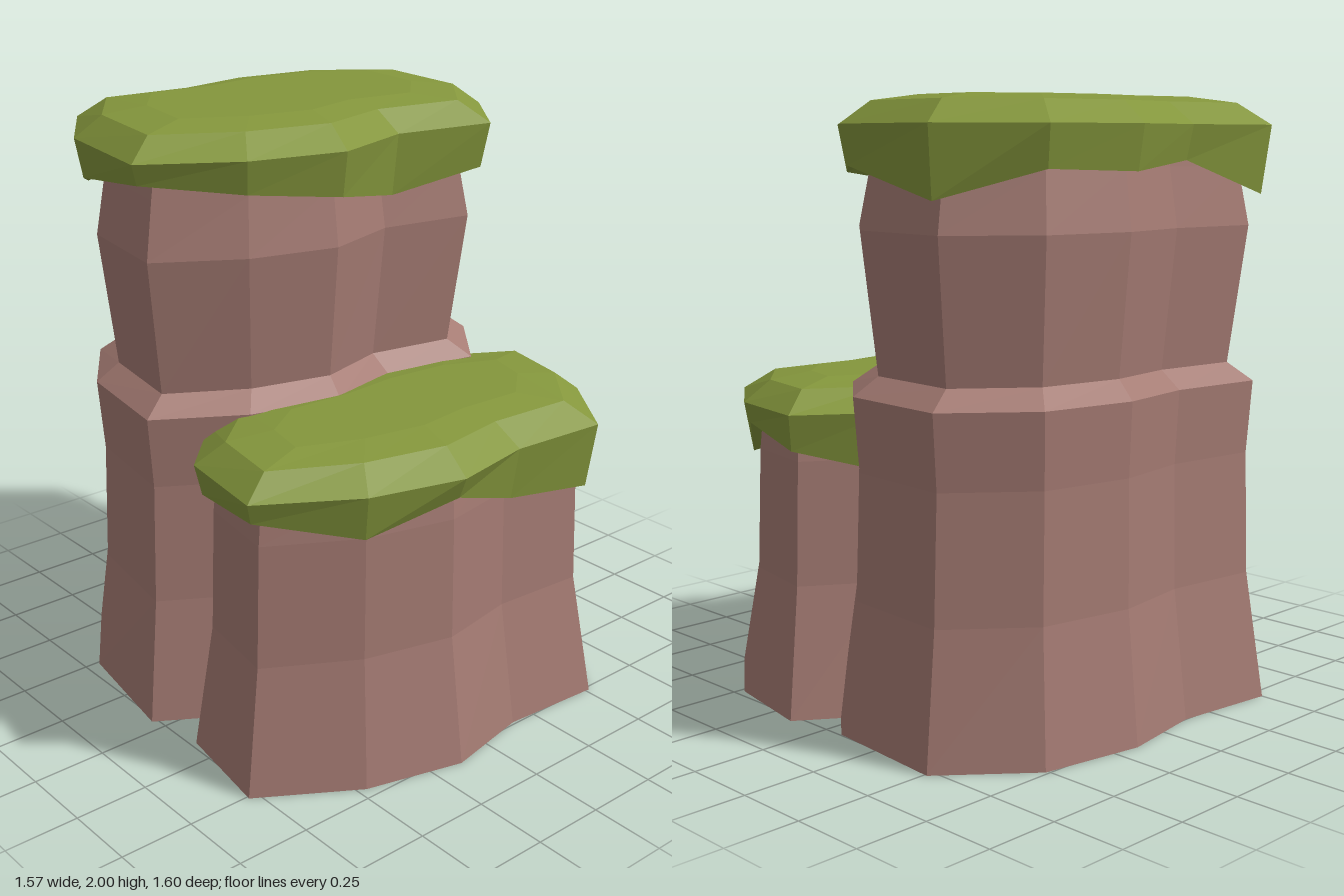
import * as THREE from 'three';

// Footprints [x, z], clockwise from above, starting at the back right corner
const tallPlan = [
  [-0.5, -0.79], [-0.14, -0.75], [0.16, -0.8], [0.51, -0.74], [0.78, -0.51], [0.745, -0.07],
  [0.52, 0.21], [0.16, 0.14], [-0.14, 0.23], [-0.47, 0.14], [-0.77, -0.05], [-0.7, -0.49],
];
const shortPlan = [
  [-0.5, -0.09], [-0.14, -0.06], [0.16, -0.1], [0.51, -0.05], [0.785, 0.14], [0.72, 0.48],
  [0.515, 0.765], [0.16, 0.74], [-0.14, 0.8], [-0.47, 0.71], [-0.785, 0.51], [-0.73, 0.15],
];

// Stacks scaled copies of a footprint; each ring is [y or list of y, scaleX, scaleZ]
function loft(plan, centreZ, rings, material, name) {
  const n = plan.length;
  const point = ([y, sx, sz], i) => {
    const [x, z] = plan[i % n];
    return [x * sx, Array.isArray(y) ? y[i % n] : y, centreZ + (z - centreZ) * sz];
  };
  const positions = [];
  const tri = (...corners) => corners.forEach((c) => positions.push(...c));
  const middle = (ring) => [0, Array.isArray(ring[0]) ? ring[0].reduce((a, b) => a + b) / n : ring[0], centreZ];
  const first = rings[0], last = rings[rings.length - 1];
  for (let i = 0; i < n; i++) {
    for (let r = 0; r < rings.length - 1; r++) {
      const a = point(rings[r], i), b = point(rings[r], i + 1);
      const c = point(rings[r + 1], i), d = point(rings[r + 1], i + 1);
      tri(a, c, b);
      tri(b, c, d);
    }
    tri(middle(first), point(first, i), point(first, i + 1));
    tri(middle(last), point(last, i + 1), point(last, i));
  }
  const geometry = new THREE.BufferGeometry();
  geometry.setAttribute('position', new THREE.Float32BufferAttribute(positions, 3));
  geometry.computeVertexNormals();
  const mesh = new THREE.Mesh(geometry, material);
  mesh.name = name;
  return mesh;
}

export function createModel() {
  const rock = new THREE.MeshStandardMaterial({ name: 'rock', color: 0xa67c74, flatShading: true });
  const grass = new THREE.MeshStandardMaterial({ name: 'grass', color: 0x84963c, flatShading: true });
  const model = new THREE.Group();
  model.name = 'steppedRock';

  // Tall back column with a ledge halfway up
  model.add(loft(tallPlan, -0.29, [
    [0, 1, 1], [0.43, 0.93, 0.895], [0.84, 0.91, 0.88], [1.08, 0.935, 0.905],
    [1.14, 0.83, 0.77], [1.59, 0.895, 0.87], [1.78, 0.85, 0.81], [1.9, 0.82, 0.78],
  ], rock, 'tallRock'));

  // Short front column
  model.add(loft(shortPlan, 0.35, [
    [0, 1, 1], [0.43, 0.92, 0.84], [0.84, 0.9, 0.82], [0.98, 0.88, 0.79],
  ], rock, 'shortRock'));

  // Grass caps with an uneven hanging edge
  const tallHang = [1.69, 1.8, 1.77, 1.78, 1.69, 1.785, 1.76, 1.705, 1.76, 1.8, 1.84, 1.78];
  model.add(loft(tallPlan, -0.29, [
    [tallHang.map((y) => y + 0.05), 0.8, 0.76], [tallHang, 0.94, 0.93], [1.91, 0.97, 0.98],
    [1.98, 0.85, 0.79], [2, 0.65, 0.55],
  ], grass, 'tallGrass'));

  const shortHang = [0.8, 0.85, 0.82, 0.8, 0.88, 0.93, 0.775, 0.82, 0.925, 0.85, 0.93, 0.9];
  model.add(loft(shortPlan, 0.35, [
    [shortHang.map((y) => y + 0.05), 0.82, 0.74], [shortHang, 0.945, 0.88], [1, 0.97, 0.95],
    [1.07, 0.85, 0.71], [1.09, 0.65, 0.42],
  ], grass, 'shortGrass'));

  return model;
}
